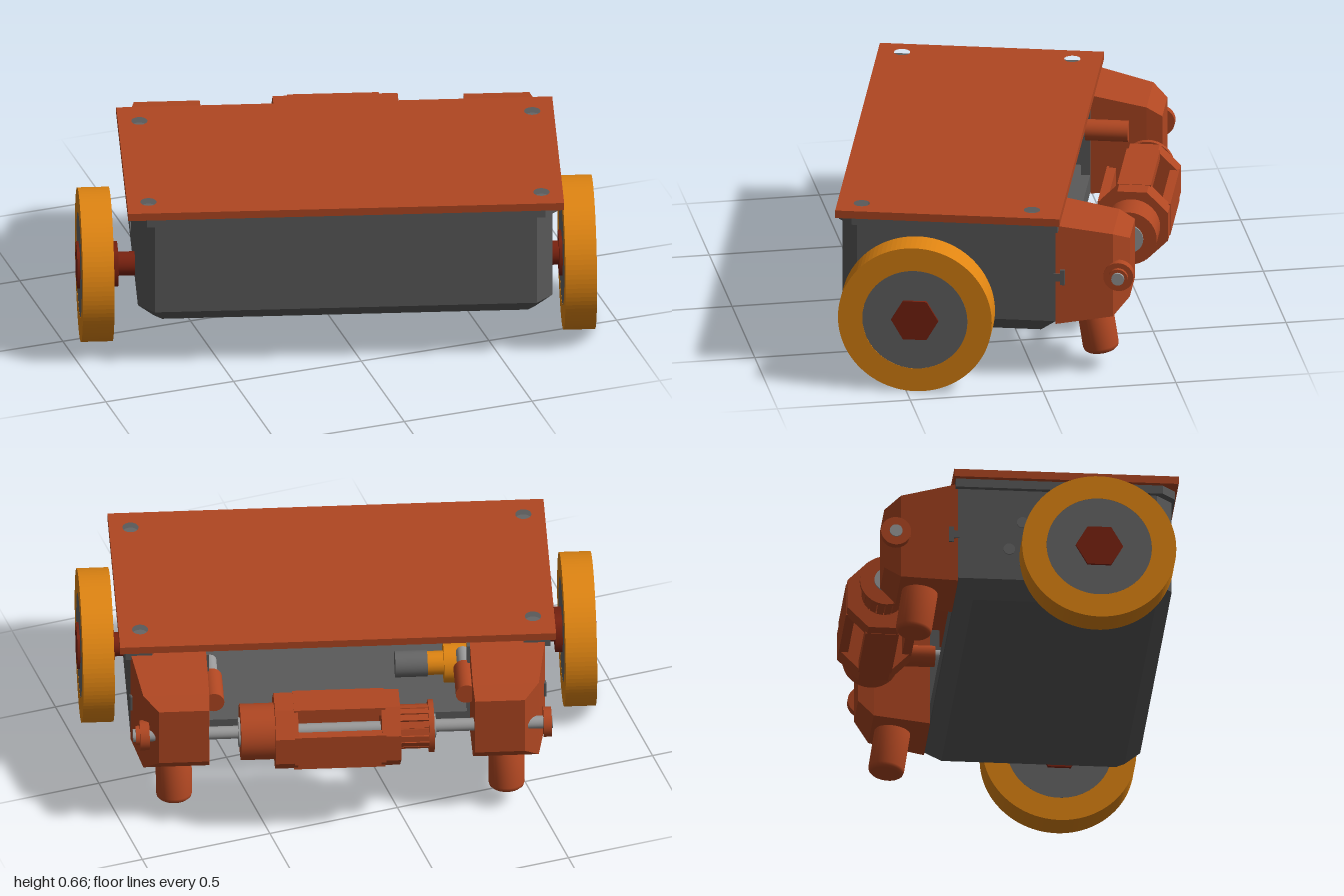
import * as THREE from 'three';
import { ConvexGeometry } from 'three/addons/geometries/ConvexGeometry.js';

const mat = (name, color) => {
  const m = new THREE.MeshStandardMaterial({ color });
  m.name = name;
  return m;
};

export function createModel() {
  const rust = mat('rust red plastic', 0xb04722);
  const darkRed = mat('dark red cap', 0x7a2210);
  const amber = mat('amber tyre', 0xe08512);
  const charcoal = mat('charcoal body', 0x5a5a5a);
  const hubGrey = mat('hub grey', 0x666666);
  const steel = mat('steel', 0x9a9a9a);

  const robot = new THREE.Group();
  robot.name = 'robotBase';
  robot.position.set(0.048, 0, 0.114);
  robot.rotation.y = -0.272;

  const add = (name, geo, material, x = 0, y = 0, z = 0, parent = robot) => {
    const m = new THREE.Mesh(geo, material);
    m.name = name;
    m.position.set(x, y, z);
    parent.add(m);
    return m;
  };
  const box = (name, material, w, h, d, x, y, z, parent) =>
    add(name, new THREE.BoxGeometry(w, h, d), material, x, y, z, parent);
  // Cylinder along x between x0 and x1
  const rodX = (name, material, r, x0, x1, y, z, sides = 32, parent = robot) => {
    const g = new THREE.CylinderGeometry(r, r, x1 - x0, sides);
    g.rotateZ(Math.PI / 2);
    return add(name, sides < 12 ? g.toNonIndexed() : g, material, (x0 + x1) / 2, y, z, parent);
  };
  const convex = pts => new ConvexGeometry(pts.map(p => new THREE.Vector3(...p)));
  // Horizontal slab from plan points (x, z), between y0 and y1
  const slab = (name, material, pts, y0, y1, holes = []) => {
    const s = new THREE.Shape(pts.map(([x, z]) => new THREE.Vector2(x, -z)));
    for (const [x, z, r] of holes) {
      const h = new THREE.Path();
      h.absarc(x, -z, r, 0, Math.PI * 2, true);
      s.holes.push(h);
    }
    const g = new THREE.ExtrudeGeometry(s, { depth: y1 - y0, bevelEnabled: false, curveSegments: 20 });
    g.rotateX(-Math.PI / 2);
    return add(name, g, material, 0, y0, 0);
  };

  // Body tray: bevelled floor, U-shaped walls open at the back, flared rim
  const plan = (w, d, c) => [[-w, -d], [w, -d], [w, d - c], [w - c, d], [c - w, d], [-w, d - c]];
  const wallU = (w, d, c, t) => [
    [-w, -d], [-w + t, -d], [-w + t, d - c], [-w + c, d - t], [w - c, d - t], [w - t, d - c],
    [w - t, -d], [w, -d], [w, d - c], [w - c, d], [c - w, d], [-w, d - c]];
  add('bodyFloor', convex([
    ...plan(0.71, 0.34, 0.03).map(([x, z]) => [x, 0.176, z]),
    ...plan(0.77, 0.4, 0.06).map(([x, z]) => [x, 0.236, z])]), charcoal);
  slab('bodyWalls', charcoal, wallU(0.77, 0.4, 0.06, 0.035), 0.236, 0.6);
  slab('bodyRim', charcoal, wallU(0.79, 0.41, 0.05, 0.1), 0.6, 0.633);
  box('backSill', charcoal, 1.5, 0.07, 0.035, 0, 0.268, -0.383);
  for (const s of [-1, 1]) box('backPanel', charcoal, 0.27, 0.37, 0.035, s * 0.615, 0.418, -0.383);

  // Lid with four screw holes
  const screws = [[-0.73, -0.308], [0.73, -0.308], [0.73, 0.327], [-0.73, 0.327]];
  const lidPlan = [[-0.81, -0.418], [0.81, -0.418], [0.81, 0.418], [-0.81, 0.418]];
  slab('lid', rust, lidPlan, 0.633, 0.663, screws.map(p => [...p, 0.03]));
  for (const [x, z] of screws)
    add('screw', new THREE.CylinderGeometry(0.03, 0.03, 0.04, 20), hubGrey, x, 0.62, z);

  // Wheels: tyre ring, hub disc, hexagonal caps and spacer on each side
  for (const [s, xc] of [[-1, -0.918], [1, 0.875]]) {
    const wheel = new THREE.Group();
    wheel.name = s < 0 ? 'rightWheel' : 'leftWheel';
    wheel.position.set(xc, 0.288, 0.108);
    robot.add(wheel);
    const ring = new THREE.Shape().absarc(0, 0, 0.287, 0, Math.PI * 2);
    ring.holes.push(new THREE.Path().absarc(0, 0, 0.196, 0, Math.PI * 2, true));
    const tyre = new THREE.ExtrudeGeometry(ring, { depth: 0.117, bevelEnabled: false, curveSegments: 48 });
    tyre.translate(0, 0, -0.0585).rotateY(Math.PI / 2);
    add('tyre', tyre, amber, 0, 0, 0, wheel);
    rodX('hub', hubGrey, 0.196, -0.058, 0.058, 0, 0, 48, wheel);
    const cap = rodX('hexCap', darkRed, 0.088, 0.04, 0.068, 0, 0, 6, wheel);
    cap.position.x *= s;
    const inner = s < 0 ? [0.05, 0.085] : [-0.07, -0.05];
    rodX('hexSpacer', darkRed, 0.085, ...inner, 0, 0, 6, wheel);
    const shaft = s < 0 ? [0, 0.2] : [-0.15, 0];
    rodX('axle', darkRed, 0.045, ...shaft, 0, 0, 24, wheel);
  }

  // Mounting holes in the right side wall
  for (const [y, z] of [[0.47, -0.16], [0.44, -0.07], [0.36, -0.21], [0.3, -0.15], [0.39, -0.09]])
    rodX('mountHole', hubGrey, 0.022, -0.774, -0.766, y, z, 16);

  // Rear brackets with angled feet, mirrored
  for (const s of [-1, 1]) {
    const section = (z, x0, x1, y0, y1) =>
      [[x0, y0], [x1, y0], [x1, y1], [x0, y1]].map(([x, y]) => [s * x, y, z]);
    add('rearBracket', convex([
      ...section(-0.4, 0.49, 0.77, 0.225, 0.62),
      ...section(-0.61, 0.49, 0.735, 0.25, 0.58),
      ...section(-0.668, 0.495, 0.68, 0.31, 0.545)]), rust);
    box('sideKey', charcoal, 0.008, 0.06, 0.018, s * 0.769, 0.413, -0.425);
    box('sideKeyNeck', charcoal, 0.008, 0.03, 0.025, s * 0.77, 0.413, -0.405);

    // Foot: cylinder with a slightly rounded tip
    const foot = new THREE.LatheGeometry([
      [0, -0.1], [0.055, -0.1], [0.064, -0.092], [0.067, -0.08], [0.067, 0.12], [0, 0.12],
    ].map(p => new THREE.Vector2(...p)), 32);
    const f = add('foot', foot, rust, s * 0.618, 0.17, -0.541);
    f.rotation.x = 0.15;

    // Inner boss and its pin
    const boss = new THREE.CylinderGeometry(0.04, 0.04, 0.16, 24).rotateX(Math.PI / 2);
    add('innerBoss', boss, rust, s * 0.47, 0.49, -0.465);
    const pin = new THREE.CylinderGeometry(0.025, 0.025, 0.12, 20).rotateX(Math.PI / 2);
    add('bossPin', pin, steel, s * 0.47, 0.49, -0.34);
  }

  // Cross shaft with end knobs
  const Y = 0.415, Z = -0.632;
  rodX('crossShaft', steel, 0.024, -0.785, 0.775, Y, Z, 20);
  rodX('rightKnob', rust, 0.056, -0.78, -0.75, Y, Z);
  rodX('leftKnob', rust, 0.056, 0.715, 0.75, Y, Z);
  rodX('leftKnobHub', rust, 0.036, 0.74, 0.765, Y, Z);

  // Toothed pulley
  rodX('pulleyFlange', rust, 0.098, -0.342, -0.322, Y, Z);
  rodX('pulleyCore', rust, 0.072, -0.33, -0.2, Y, Z);
  for (let i = 0; i < 18; i++) {
    const a = i / 18 * Math.PI * 2;
    const t = box('pulleyTooth', rust, 0.11, 0.024, 0.012, -0.267, Y + 0.076 * Math.sin(a), Z + 0.076 * Math.cos(a));
    t.rotation.x = -a;
  }

  // Winch cage: octagonal end rings joined by four bars with open slots between
  const octagon = (r, phase) => Array.from({ length: 8 }, (_, i) =>
    new THREE.Vector2(r * Math.cos(phase + i * Math.PI / 4), r * Math.sin(phase + i * Math.PI / 4)));
  for (const [x, len] of [[-0.215, 0.07], [0.165, 0.085]]) {
    const ring = new THREE.Shape(octagon(0.145, Math.PI / 8));
    ring.holes.push(new THREE.Path().absarc(0, 0, 0.035, 0, Math.PI * 2, true));
    const g = new THREE.ExtrudeGeometry(ring, { depth: len, bevelEnabled: false });
    g.rotateY(Math.PI / 2);
    add('cageEnd', g, rust, x, Y, Z);
  }
  for (let i = 0; i < 4; i++) {
    const a = i * Math.PI / 2;
    const bar = box('cageBar', rust, 0.34, 0.035, 0.125, 0.01, Y + 0.118 * Math.cos(a), Z + 0.118 * Math.sin(a));
    bar.rotation.x = a;
  }
  rodX('cageCollar', rust, 0.105, 0.24, 0.377, Y, Z);
  rodX('collarBearing', steel, 0.055, 0.37, 0.384, Y, Z);
  rodX('pulleyBearing', steel, 0.045, -0.35, -0.335, Y, Z);

  // Drive gear and motor inside the tray
  rodX('driveGear', amber, 0.075, -0.5, -0.4, 0.42, -0.25, 20);
  rodX('smallGear', amber, 0.045, -0.4, -0.34, 0.42, -0.25, 16);
  rodX('motor', hubGrey, 0.05, -0.34, -0.22, 0.42, -0.25, 24);
  rodX('gearShaft', steel, 0.02, -0.75, -0.34, 0.42, -0.25, 12);

  const model = new THREE.Group();
  model.name = 'model';
  model.add(robot);
  return model;
}
